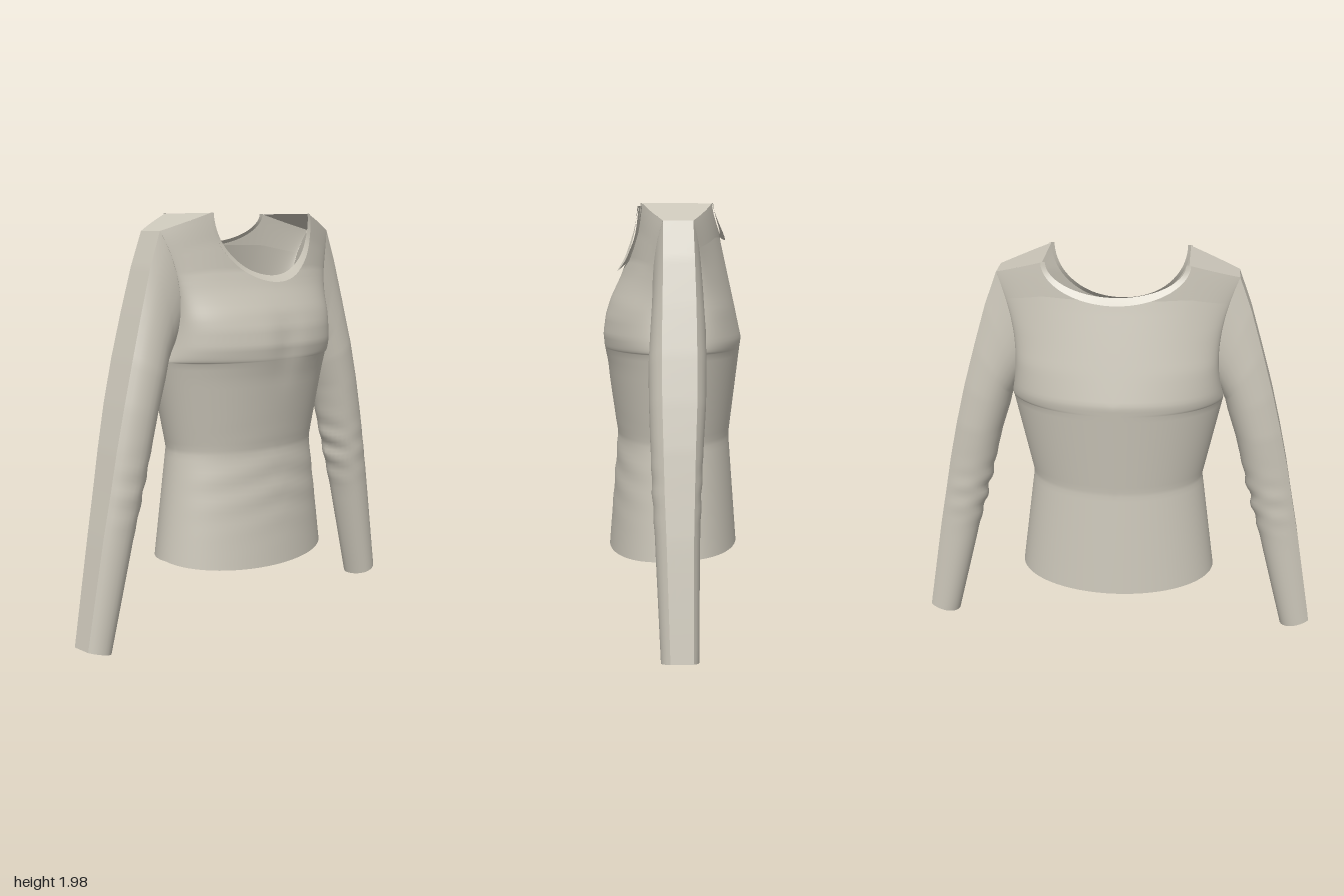
import * as THREE from 'three';
import { mergeGeometries, mergeVertices, toCreasedNormals } from 'three/addons/utils/BufferGeometryUtils.js';

const lerp = THREE.MathUtils.lerp;
const clamp = THREE.MathUtils.clamp;

// Piecewise linear lookup in [[key, value], ...]
function look(table, k) {
  let i = 1;
  while (i < table.length - 1 && k > table[i][0]) i++;
  const [a, b] = [table[i - 1], table[i]];
  return lerp(a[1], b[1], clamp((k - a[0]) / (b[0] - a[0]), 0, 1));
}

// Surface from a rule fn(i, j) -> [x, y, z]
function grid(nu, nv, fn, flip) {
  const pos = [], idx = [];
  for (let j = 0; j <= nv; j++) for (let i = 0; i <= nu; i++) pos.push(...fn(i, j));
  for (let j = 0; j < nv; j++) for (let i = 0; i < nu; i++) {
    const a = j * (nu + 1) + i, b = a + 1, c = a + nu + 1, d = c + 1;
    idx.push(...(flip ? [a, d, b, a, c, d] : [a, b, d, a, d, c]));
  }
  const g = new THREE.BufferGeometry();
  g.setAttribute('position', new THREE.Float32BufferAttribute(pos, 3));
  g.setIndex(idx);
  return g;
}

// Weld pieces so that shading runs smoothly across them
function weld(parts) {
  const g = mergeVertices(mergeGeometries(parts), 1e-4);
  g.computeVertexNormals();
  return g;
}

// Body measurements by height
const TOP = 1.98, HEM = 0.345;
const WIDTH = [[HEM, 0.49], [0.87, 0.42], [1.3, 0.51]];
const FRONT = [[HEM, 0.31], [0.87, 0.265], [1.22, 0.315], [1.31, 0.336], [1.37, 0.342], [1.45, 0.328],
  [1.53, 0.3], [1.64, 0.246], [1.72, 0.217], [1.85, 0.198], [TOP, 0.195]];
const BACK = [[HEM, 0.32], [0.87, 0.28], [1.35, 0.336], [1.82, 0.23], [TOP, 0.22]];

const outerHeight = k => (k < 1.66 ? k : 1.66 + (k - 1.66) * 0.75);

// Side edge of a body row: side seam below, armhole above
function edge(k) {
  const c = (outerHeight(k) - 1.6) / 0.3;
  if (c <= -1) return [look(WIDTH, k), 0];
  const m = c > 0 ? 0.8 * c : c;
  return [0.535 + 0.025 * c - 0.055 * (1 - c * c), 0.11 * Math.sqrt(Math.max(0, 1 - m * m))];
}

// Point on the body at row k and distance x from the middle; f = 1 front, -1 back
function surf(x, k, f) {
  const [xs, zs] = edge(k);
  const r2 = Math.min(1, (x / xs) ** 2);
  const e = lerp(0.5, 1, clamp((k - 1.5) / 0.48, 0, 1));
  const round = Math.pow(1 - r2, e);
  let z = zs + (look(f > 0 ? FRONT : BACK, k) - zs) * round;
  let y = lerp(k, outerHeight(k), clamp((x - 0.33) / (xs - 0.33), 0, 1));
  y -= (f > 0 ? 0.04 : 0.01) * round * clamp((0.87 - k) / 0.525, 0, 1);
  if (f > 0) {
    // Soft hollow between the bust, faint folds at the waist
    z -= 0.015 * Math.exp(-((x / 0.08) ** 2)) * Math.exp(-(((k - 1.36) / 0.13) ** 2));
    z += 0.003 * Math.sin(k * 48 + x * 9) * round * Math.exp(-(((k - 0.72) / 0.16) ** 2));
  }
  return [x, y, f * z];
}

function bodyHalf(s, f) {
  const depth = f > 0 ? 0.305 : 0.155, base = TOP - depth;
  const rows = [];
  for (const [a, b, n] of [[HEM, 0.86, 20], [0.86, 0.88, 1], [0.88, 1.3, 14]])
    for (let i = 0; i < n; i++) rows.push(lerp(a, b, i / n));
  for (let i = 0; i < 22; i++) rows.push(lerp(1.3, base, (i / 22) ** 1.5));
  for (let i = 0; i <= 20; i++) rows.push(TOP - depth * Math.cos(i / 20 * Math.PI / 2));
  const n = 20;
  return grid(n, rows.length - 1, (i, j) => {
    const k = rows[j], xs = edge(k)[0];
    const xi = k <= base ? 0 : 0.33 * Math.sqrt(Math.max(0, 1 - ((TOP - k) / depth) ** 2));
    const t = lerp(Math.asin(xi / xs), Math.PI / 2, i / n);
    const p = surf(xs * Math.sin(t), k, f);
    return [s * p[0], p[1], p[2]];
  }, s * f < 0);
}

// Flared band along one half of the neckline
function neckband(f) {
  const inner = f > 0 ? 0.29 : 0.14, n = 48;
  return grid(n, 2, (i, j) => {
    const t = Math.PI * i / n, v = j / 2;
    const x = -lerp(0.338, 0.316, v) * Math.cos(t);
    const k = TOP - lerp(inner + 0.03, inner, v) * Math.sin(t);
    const p = surf(Math.abs(x), k, f);
    const lift = lerp(0.022, -0.002, v) * Math.sin(t) + 0.003;
    return [x, p[1] + 0.002, p[2] + f * lift];
  }, f < 0);
}

// Shoulder piece bridging the front and back panels
function yoke(s) {
  return grid(8, 4, (i, j) => {
    const x = lerp(0.33, 0.56, i / 8);
    const a = surf(x, TOP, 1), b = surf(x, TOP, -1);
    return [s * x, a[1], lerp(a[2], b[2], j / 4)];
  }, s < 0);
}

// Sleeve stations: outer x, y, inner x, y, front z, back z, inward sag
const SLEEVE = [
  [0.56, 1.9, 0.51, 1.3, 0.11, 0.11, 0.055],
  [0.62, 1.74, 0.51, 1.29, 0.115, 0.115, 0.03],
  [0.68, 1.54, 0.515, 1.28, 0.125, 0.12, 0.01],
  [0.74, 1.33, 0.53, 1.22, 0.135, 0.12, 0],
  [0.79, 1.13, 0.575, 1.08, 0.135, 0.115, 0],
  [0.835, 0.93, 0.625, 0.88, 0.13, 0.1, 0],
  [0.87, 0.75, 0.67, 0.71, 0.125, 0.09, 0],
  [0.91, 0.55, 0.725, 0.51, 0.115, 0.08, 0],
  [1.0, 0.04, 0.855, 0.0, 0.095, 0.07, 0],
];

function sleeve(s) {
  const sub = 8, flat = Math.acos(0.8), nv = (SLEEVE.length - 1) * sub;
  const g = grid(28, nv, (i, j) => {
    const q = Math.min(Math.floor(j / sub), SLEEVE.length - 2);
    const [xo, yo, xi, yi, zf, zb, sag] = SLEEVE[q].map((v, n) => lerp(v, SLEEVE[q + 1][n], j / sub - q));
    const a = i <= 4 ? lerp(-flat, flat, i / 4) : lerp(flat, 2 * Math.PI - flat, (i - 4) / 24);
    // Section is flattened along the outer side
    const c = Math.cos(a) > 0 ? Math.min(1, Math.cos(a) / 0.8) : Math.cos(a);
    const w = (c + 1) / 2, sn = Math.sin(a);
    const y = lerp(yi, yo, w);
    // Elbow creases
    const fold = 0.009 * Math.sin(y * 52 + sn * 1.5) * Math.exp(-(((y - 0.74) / 0.15) ** 2)) * (1 - w);
    const x = lerp(xi, xo, w) - sag * (1 - c * c) + fold;
    return [s * x, y, sn * (sn > 0 ? zf : zb) + fold * 0.5 * sn];
  }, s < 0);
  return toCreasedNormals(weld([g]), 0.6);
}

// Turned-up hem just inside the lower edge
function hem() {
  return grid(72, 1, (i, j) => {
    const t = 2 * Math.PI * i / 72, f = Math.sin(t) >= 0 ? 1 : -1;
    const k = HEM + 0.025 * j, x = edge(k)[0] * Math.cos(t);
    const p = surf(Math.abs(x), k, f);
    return [x * 0.988, p[1], p[2] * 0.988];
  }, true);
}

export function createModel() {
  const group = new THREE.Group();
  const fabric = new THREE.MeshStandardMaterial({ color: 0xcbc6b9, side: THREE.DoubleSide });
  fabric.name = 'fabric';
  const add = (name, geometry) => {
    const m = new THREE.Mesh(geometry, fabric);
    m.name = name;
    group.add(m);
  };

  add('body', weld([bodyHalf(1, 1), bodyHalf(-1, 1), bodyHalf(1, -1), bodyHalf(-1, -1)]));
  add('hem', weld([hem()]));
  add('frontNeckband', weld([neckband(1)]));
  add('backNeckband', weld([neckband(-1)]));
  for (const [side, s] of [['left', 1], ['right', -1]]) {
    add(side + 'ShoulderYoke', weld([yoke(s)]));
    add(side + 'Sleeve', sleeve(s));
  }
  return group;
}
